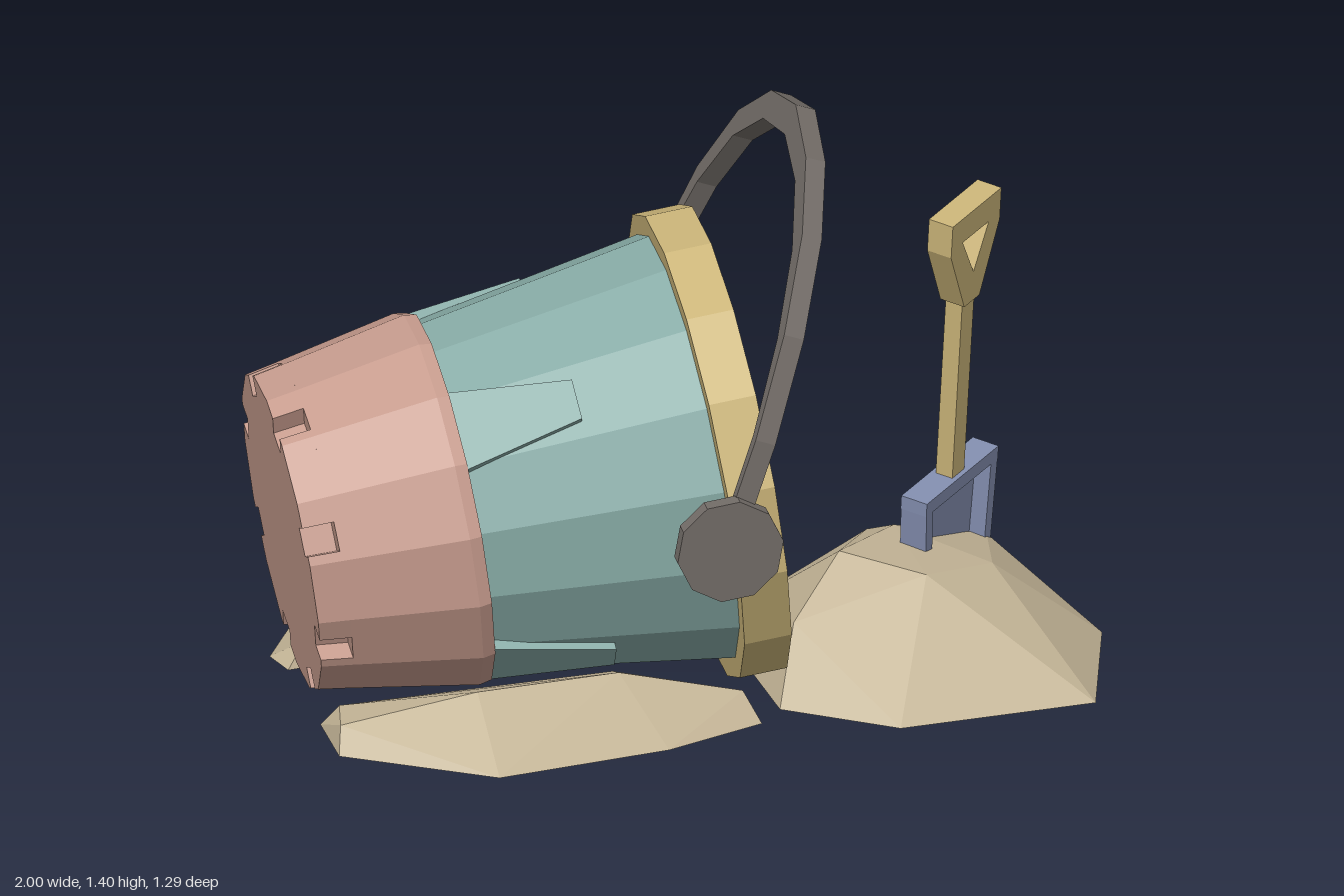
import * as THREE from 'three';
import { ConvexGeometry } from 'three/addons/geometries/ConvexGeometry.js';

const SIDES = 16;
const STEP = (Math.PI * 2) / SIDES;

const material = (name, color) => {
  const m = new THREE.MeshStandardMaterial({ color });
  m.name = name;
  return m;
};

// Faceted mesh: every face gets its own normal
function part(name, geometry, mat, parent) {
  const geo = geometry.index ? geometry.toNonIndexed() : geometry;
  geo.computeVertexNormals();
  const mesh = new THREE.Mesh(geo, mat);
  mesh.name = name;
  parent.add(mesh);
  return mesh;
}

// Profile of [radius, height] turned into a polygonal ring, with a flat facet on top
function turned(profile) {
  const pts = profile.map(([r, y]) => new THREE.Vector2(r, y));
  return new THREE.LatheGeometry(pts, SIDES).rotateY(STEP / 2);
}

function outline(points) {
  return new THREE.Shape(points.map(([x, y]) => new THREE.Vector2(x, y)));
}

function slab(shape, depth) {
  return new THREE.ExtrudeGeometry(shape, { depth, bevelEnabled: false }).translate(0, 0, -depth / 2);
}

const hull = (points) => new ConvexGeometry(points.map((p) => new THREE.Vector3(...p)));

// Bottom ring with a square notch in every second facet, tapered like the wall
function notchedBase(radius, height) {
  const flat = radius * Math.cos(STEP / 2);
  const pts = [];
  for (let i = 0; i < SIDES; i++) {
    const a = i * STEP;
    const put = (x, y) => pts.push([x * Math.cos(a) - y * Math.sin(a), x * Math.sin(a) + y * Math.cos(a)]);
    put(flat, -radius * Math.sin(STEP / 2));
    if (i % 2) {
      put(flat, -0.016);
      put(flat - 0.05, -0.016);
      put(flat - 0.05, 0.052);
      put(flat, 0.052);
    }
  }
  const geo = slab(outline(pts), height).translate(0, 0, height / 2).rotateX(-Math.PI / 2);
  const p = geo.attributes.position;
  for (let i = 0; i < p.count; i++) {
    const k = 1 + 0.45 * p.getY(i);
    p.setXYZ(i, p.getX(i) * k, p.getY(i), p.getZ(i) * k);
  }
  return geo;
}

function buildBucket(mats) {
  // Local y runs from base to mouth, -x is up, z is sideways
  const bucket = new THREE.Group();
  bucket.name = 'bucket';
  bucket.position.set(-0.915, 0.413, -0.162);
  bucket.rotation.set(0, -0.185, -(Math.PI / 2 - 0.137));

  part('notchedBase', notchedBase(0.383, 0.075), mats.pink, bucket);
  part('lowerBand', turned([[0, 0.075], [0.396, 0.075], [0.452, 0.375], [0.446, 0.405], [0.41, 0.405]]), mats.pink, bucket);
  part('body', turned([[0.42, 0.395], [0.516, 0.985]]), mats.teal, bucket);
  part('rimAndInside', turned([[0.5, 0.978], [0.564, 0.978], [0.564, 1.092], [0.475, 1.092], [0.36, 0.18], [0, 0.18]]), mats.yellow, bucket);

  // Four tapered plates on the diagonal facets
  for (let i = 0; i < 4; i++) {
    const pts = [];
    for (const [y, r, w] of [[0.395, 0.43, 0.1], [0.69, 0.478, 0.05]]) {
      for (const side of [-1, 1]) pts.push([r, y, side * w], [r - 0.03, y, side * w]);
    }
    part('bodyPlate', hull(pts).rotateY(Math.PI / 4 + (i * Math.PI) / 2), mats.teal, bucket);
  }

  // Handle pivots
  const pivotY = 0.956;
  for (const side of [-1, 1]) {
    const peg = new THREE.CylinderGeometry(0.065, 0.065, 0.11, 10).rotateX(Math.PI / 2);
    part('pivotPeg', peg, mats.pink, bucket).position.set(0, pivotY, side * 0.535);
    const disc = new THREE.CylinderGeometry(0.128, 0.128, 0.04, 10).rotateX(Math.PI / 2);
    part('pivotDisc', disc, mats.grey, bucket).position.set(0, pivotY, side * 0.6);
  }

  // Arched handle leaning over the mouth
  const outer = [[0.602, 0], [0.578, 0.27], [0.503, 0.515], [0.37, 0.722], [0.2, 0.85]];
  const inner = [[0.578, 0], [0.548, 0.27], [0.465, 0.49], [0.342, 0.667], [0.185, 0.782]];
  const flip = (list) => list.map(([x, y]) => [-x, y]);
  const arch = outline([
    ...outer, [0, 0.9], ...flip(outer).reverse(),
    ...flip(inner), [0, 0.822], ...inner.slice().reverse(),
  ]);
  const c = Math.cos(0.486), s = Math.sin(0.486);
  const lean = new THREE.Matrix4().makeBasis(
    new THREE.Vector3(0, 0, 1), new THREE.Vector3(-c, s, 0), new THREE.Vector3(-s, -c, 0));
  part('handle', slab(arch, 0.05).applyMatrix4(lean), mats.grey, bucket).position.y = pivotY;
  return bucket;
}

function buildShovel(mats) {
  // Origin is the middle of the blade's top edge
  const shovel = new THREE.Group();
  shovel.name = 'shovel';
  shovel.position.set(0.69, 0.385, 0.055);
  shovel.rotation.set(0.13, 0.65, 0);

  const blade = outline([[-0.165, 0], [-0.147, -0.32], [0.147, -0.32], [0.165, 0]]);
  part('blade', slab(blade, 0.025), mats.blue, shovel).position.z = -0.02;
  part('bladeTop', new THREE.BoxGeometry(0.33, 0.035, 0.07), mats.blue, shovel).position.set(0, -0.012, 0);
  for (const side of [-1, 1]) {
    const flange = outline([[0.165, 0], [0.135, 0], [0.118, -0.32], [0.147, -0.32]].map(([x, y]) => [x * side, y]));
    part('bladeFlange', slab(flange, 0.07), mats.blue, shovel);
  }

  part('shaft', new THREE.BoxGeometry(0.055, 0.52, 0.045), mats.yellow, shovel).position.y = 0.25;
  const grip = outline([[-0.035, 0.48], [0.035, 0.48], [0.112, 0.65], [0.112, 0.735], [-0.112, 0.735], [-0.112, 0.65]]);
  grip.holes.push(outline([[0, 0.56], [-0.06, 0.668], [0.06, 0.668]]));
  part('grip', slab(grip, 0.065), mats.yellow, shovel);
  return shovel;
}

// Faceted sand heap from a ground outline [x, z] and raised points [x, y, z]
function heap(name, ground, raised, mat, parent) {
  part(name, hull([...ground.map(([x, z]) => [x, 0, z]), ...raised]), mat, parent);
}

export function createModel() {
  const mats = {
    pink: material('dusty pink', 0xc69b8d),
    teal: material('muted teal', 0x87aba6),
    yellow: material('straw yellow', 0xcbb579),
    grey: material('warm grey', 0x726c67),
    blue: material('slate blue', 0x838eaf),
    sand: material('sand', 0xc4b597),
  };
  const model = new THREE.Group();
  model.name = 'sandBucketSet';
  model.add(buildBucket(mats), buildShovel(mats));

  heap('shovelSand',
    [[0.25, -0.21], [0.52, -0.33], [0.92, -0.28], [1, 0.24], [0.83, 0.615], [0.35, 0.58], [0.13, 0.37], [0.16, 0.05]],
    [[0.21, 0.165, 0.26], [0.37, 0.277, 0.15], [0.57, 0.25, 0.0], [0.73, 0.215, 0.22], [0.53, 0.25, 0.3],
      [0.83, 0.16, -0.06], [0.58, 0.16, -0.19]],
    mats.sand, model);
  heap('frontSand',
    [[-0.93, 0.23], [-0.63, 0.49], [-0.2, 0.49], [0.06, 0.43], [0.06, 0.27], [-0.2, 0.12], [-0.9, 0.04]],
    [[-0.91, 0.06, 0.19], [-0.6, 0.13, 0.28], [-0.25, 0.13, 0.3], [0.04, 0.06, 0.36], [-0.86, 0.05, 0.06], [-0.2, 0.06, 0.14]],
    mats.sand, model);
  heap('backSand',
    [[-0.85, -0.28], [-0.86, -0.37], [-0.73, -0.54], [-0.44, -0.65], [-0.1, -0.54], [0.18, -0.39], [0.2, -0.28]],
    [[-0.8, 0.06, -0.3], [-0.6, 0.13, -0.33], [-0.2, 0.13, -0.33], [-0.45, 0.1, -0.48], [0.1, 0.06, -0.33]],
    mats.sand, model);
  return model;
}
